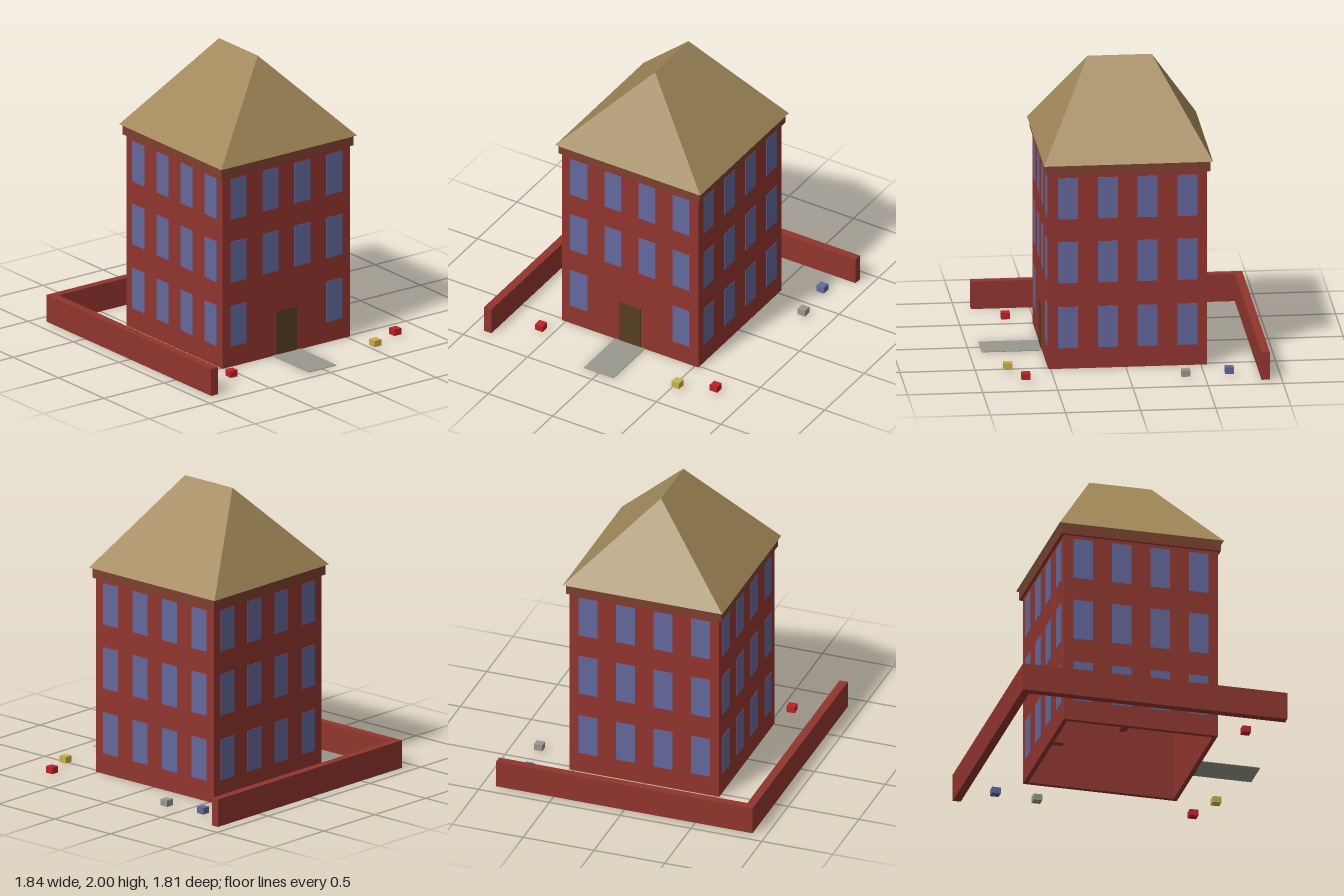
import * as THREE from 'three';

const paint = (name, color, side = THREE.FrontSide) => {
  const m = new THREE.MeshStandardMaterial({ color, side });
  m.name = name;
  return m;
};

export function createModel() {
  const model = new THREE.Group();
  model.name = 'house';
  const brick = paint('brick red', 0x91352e);
  const trim = paint('cornice brown', 0x7c402e);
  const tile = paint('roof tan', 0xa08758, THREE.DoubleSide);
  const glass = paint('window blue', 0x62689c);
  const wood = paint('door brown', 0x553c22);
  const stone = paint('path grey', 0x98988e);
  const scarlet = paint('bright red', 0xc02026);
  const yellow = paint('yellow', 0xc8b048);

  const add = (name, geometry, material, parent = model) => {
    const mesh = new THREE.Mesh(geometry, material);
    mesh.name = name;
    parent.add(mesh);
    return mesh;
  };
  // box given by its minimum and maximum on each axis
  const box = (name, material, x0, x1, y0, y1, z0, z1, parent) => {
    const mesh = add(name, new THREE.BoxGeometry(x1 - x0, y1 - y0, z1 - z0), material, parent);
    mesh.position.set((x0 + x1) / 2, (y0 + y1) / 2, (z0 + z1) / 2);
    return mesh;
  };

  // hollow walls, open underneath
  const X0 = -0.54, X1 = 0.515, Z = 0.528, T = 0.03;
  const rect = (path, a, b, c, d) => path.moveTo(a, c).lineTo(b, c).lineTo(b, d).lineTo(a, d).closePath();
  const plan = rect(new THREE.Shape(), X0, X1, -Z, Z);
  plan.holes.push(rect(new THREE.Path(), X0 + T, X1 - T, -Z + T, Z - T));
  const walls = new THREE.ExtrudeGeometry(plan, { depth: 1.345, bevelEnabled: false });
  walls.rotateX(-Math.PI / 2);
  add('walls', walls, brick);

  // short inner piers
  box('frontPier', brick, -0.14, -0.09, 0, 1.345, Z - T - 0.07, Z - T);
  box('sidePier', brick, X0 + T, X0 + T + 0.07, 0, 1.345, 0.11, 0.16);

  // cornice
  box('cornice', trim, -0.56, 0.53, 1.345, 1.415, -0.547, 0.547);

  // hipped roof: four eaves corners and a ridge
  const roof = new THREE.BufferGeometry();
  roof.setAttribute('position', new THREE.Float32BufferAttribute([
    -0.577, 1.415, 0.563, 0.547, 1.415, 0.563, 0.547, 1.415, -0.563, -0.577, 1.415, -0.563,
    -0.225, 2, 0, 0.2, 2, 0], 3));
  roof.setIndex([0, 1, 5, 0, 5, 4, 1, 2, 5, 2, 3, 4, 2, 4, 5, 3, 0, 4, 0, 3, 2, 0, 2, 1]);
  const flatRoof = roof.toNonIndexed();
  flatRoof.computeVertexNormals();
  add('roof', flatRoof, tile);

  // windows on all four sides; the door replaces two on the right wall
  const columns = [-0.397, -0.132, 0.132, 0.397];
  const rows = [0.285, 0.735, 1.178];
  const pane = new THREE.BoxGeometry(0.133, 0.285, 0.006);
  const midX = (X0 + X1) / 2;
  const sides = [
    ['frontWindows', midX, Z, 0], ['rightWindows', X1, 0, Math.PI / 2],
    ['backWindows', midX, -Z, Math.PI], ['leftWindows', X0, 0, -Math.PI / 2]];
  for (const [name, x, z, turn] of sides) {
    const wall = new THREE.Group();
    wall.name = name;
    wall.position.set(x, 0, z);
    wall.rotation.y = turn;
    model.add(wall);
    rows.forEach((y, row) => columns.forEach((u) => {
      if (name === 'rightWindows' && row === 0 && Math.abs(u) < 0.2) return;
      add('window', pane, glass, wall).position.set(u, y, 0);
    }));
  }
  box('door', wood, X1 - 0.003, X1 + 0.004, 0, 0.31, -0.084, 0.084);

  // path to the door
  box('path', stone, X1, 0.915, 0, 0.004, -0.115, 0.115);

  // garden wall on two sides
  box('frontGardenWall', brick, -0.865, 0.89, 0, 0.19, 0.848, 0.905);
  box('sideGardenWall', brick, -0.92, -0.865, 0, 0.19, -0.905, 0.905);

  // small blocks lying around the yard
  const blocks = [
    [scarlet, 0.69, -0.77], [scarlet, 0.69, 0.585], [yellow, 0.785, -0.533],
    [glass, -0.663, -0.77], [stone, -0.37, -0.803]];
  for (const [material, x, z] of blocks) {
    box('yardBlock', material, x - 0.029, x + 0.029, 0.014, 0.058, z - 0.029, z + 0.029);
  }
  return model;
}
